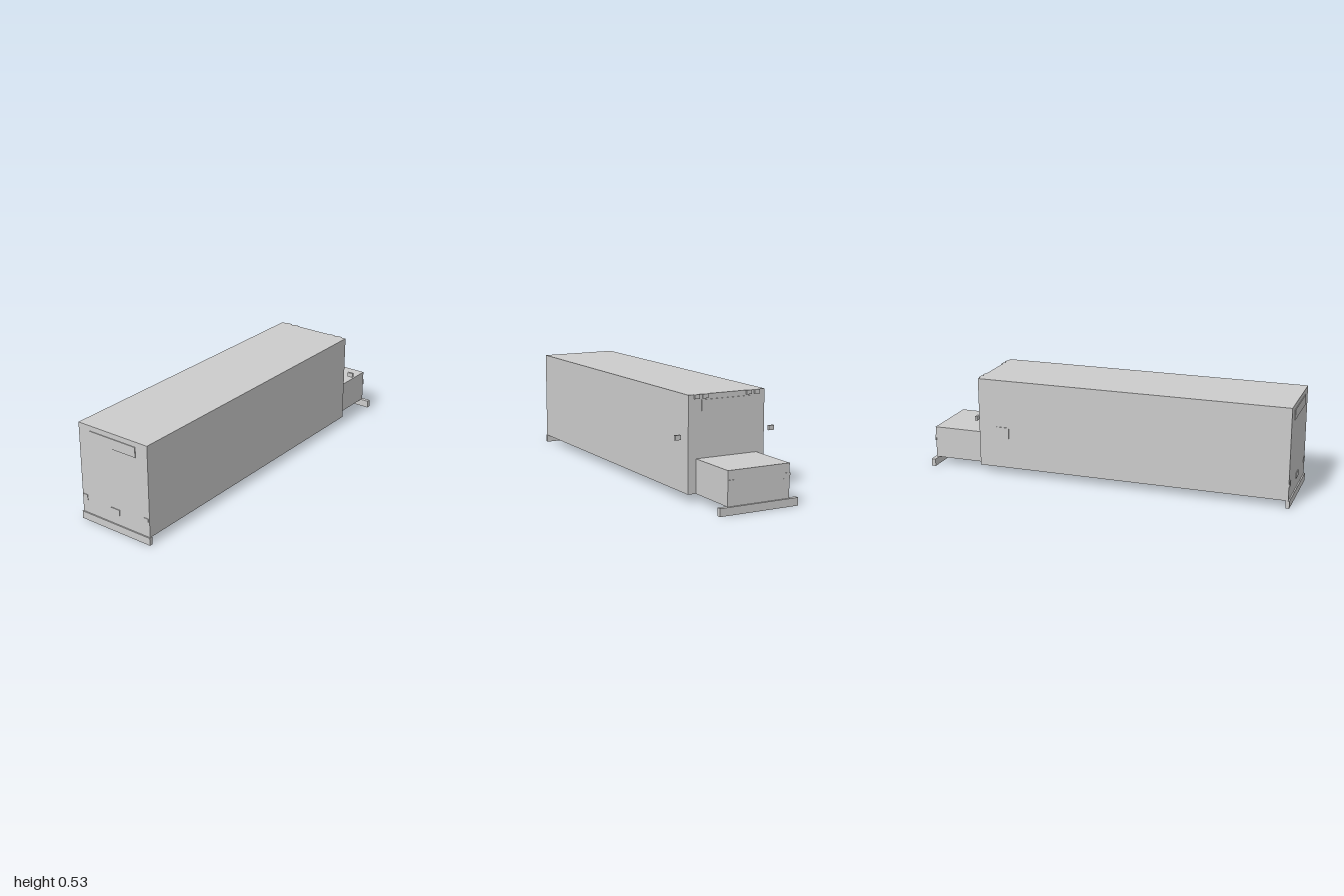
import * as THREE from 'three';

export function createModel() {
  const group = new THREE.Group();
  group.name = 'bus';
  const grey = new THREE.MeshStandardMaterial({ color: 0xcccccc });
  grey.name = 'light grey';

  // Box given by its minimum and maximum on each axis
  function block(name, [x0, x1], [y0, y1], [z0, z1]) {
    const mesh = new THREE.Mesh(new THREE.BoxGeometry(x1 - x0, y1 - y0, z1 - z0), grey);
    mesh.position.set((x0 + x1) / 2, (y0 + y1) / 2, (z0 + z1) / 2);
    mesh.name = name;
    group.add(mesh);
  }

  // The same box on both sides
  function pair(name, [x0, x1], y, z) {
    block(name + 'Left', [x0, x1], y, z);
    block(name + 'Right', [-x1, -x0], y, z);
  }

  // Main volumes
  block('body', [-0.217, 0.217], [0.04, 0.527], [-0.702, 0.993]);
  block('hood', [-0.173, 0.173], [0.04, 0.213], [-0.991, -0.702]);

  // Bumpers at both ends
  block('doorEndBumper', [-0.22, 0.22], [0, 0.04], [0.981, 1]);
  block('hoodEndBumper', [-0.22, 0.22], [0, 0.04], [-1, -0.977]);

  // Windows and plates
  block('doorEndWindow', [-0.144, 0.144], [0.446, 0.5], [0.992, 0.997]);
  block('windshield', [-0.144, 0.144], [0.446, 0.5], [-0.706, -0.701]);
  block('licensePlate', [-0.028, 0.028], [0.095, 0.125], [0.992, 0.997]);
  block('stopPlate', [-0.221, -0.216], [0.187, 0.267], [-0.6, -0.53]);

  // Lights
  pair('tailLight', [0.183, 0.211], [0.11, 0.14], [0.992, 0.996]);
  pair('headlight', [0.14, 0.175], [0.137, 0.167], [-0.994, -0.988]);
  pair('outerRoofLight', [0.156, 0.186], [0.506, 0.527], [-0.709, -0.7]);
  pair('innerRoofLight', [0.11, 0.139], [0.506, 0.527], [-0.709, -0.7]);

  // Detached wing mirrors
  pair('mirror', [0.252, 0.284], [0.312, 0.336], [-0.695, -0.682]);

  return group;
}
